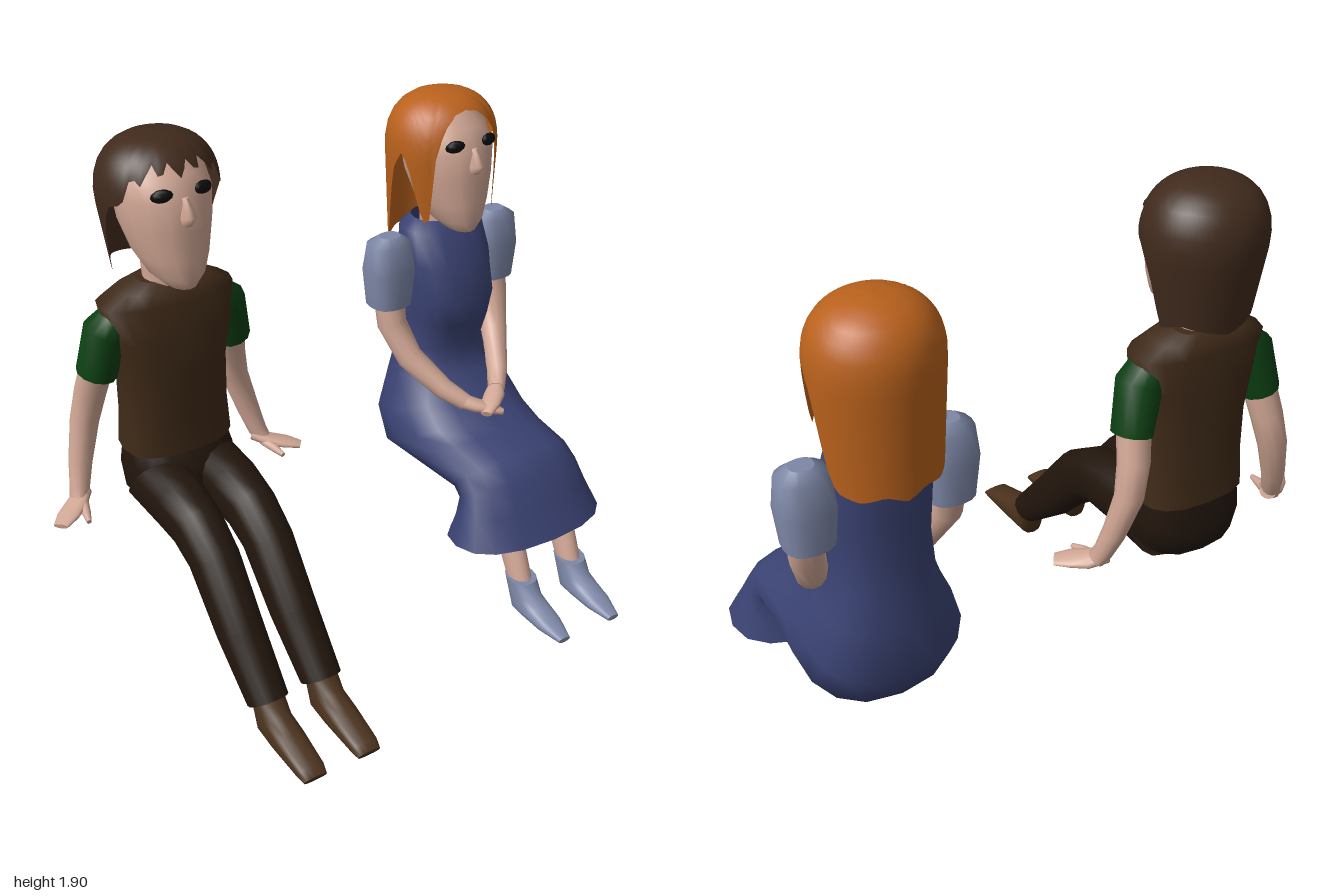
import * as THREE from 'three';

const paint = {};
const mat = (color) => (paint[color] ??= new THREE.MeshStandardMaterial({ color, side: THREE.DoubleSide }));
const SKIN = 0xd0a694, BROWN = 0x3f2a18, DARK = 0x22160d, GREEN = 0x0c3f12, HAIR = 0x402a1c;
const BLUE = 0x3a4272, PALE = 0x7d87a6, GINGER = 0xb9611c, SHOE = 0x4b321d, BLACK = 0x0c0c0c;
const SIDES = 16;

// Joins rings of points into a smooth surface, with optional flat end caps
function skin(name, color, rings, caps = true) {
  const n = rings[0].length, pos = [], idx = [];
  for (const ring of rings) for (const p of ring) pos.push(p.x, p.y, p.z);
  for (let j = 0; j < rings.length - 1; j++) {
    for (let i = 0; i < n; i++) {
      const a = j * n + i, b = j * n + (i + 1) % n;
      idx.push(a, b, a + n, b, b + n, a + n);
    }
  }
  if (caps) {
    for (const end of [0, rings.length - 1]) {
      const ring = rings[end], base = pos.length / 3;
      const c = ring.reduce((s, p) => s.add(p), new THREE.Vector3()).divideScalar(n);
      for (const p of [c, ...ring]) pos.push(p.x, p.y, p.z);
      for (let i = 0; i < n; i++) {
        const a = base + 1 + i, b = base + 1 + (i + 1) % n;
        end ? idx.push(base, a, b) : idx.push(base, b, a);
      }
    }
  }
  const g = new THREE.BufferGeometry();
  g.setAttribute('position', new THREE.Float32BufferAttribute(pos, 3));
  g.setIndex(idx);
  g.computeVertexNormals();
  const mesh = new THREE.Mesh(g, mat(color));
  mesh.name = name;
  return mesh;
}

// Side-profile loft. Section: [frontY, frontZ, backY, backZ, halfWidth]
function body(name, color, sections, { x = 0, power = 1, caps = true } = {}) {
  const soft = (v) => Math.sign(v) * Math.abs(v) ** power;
  return skin(name, color, sections.map(([fy, fz, by, bz, w]) =>
    Array.from({ length: SIDES }, (_, i) => {
      const a = (i / SIDES) * Math.PI * 2, c = soft(Math.cos(a)) * w, s = soft(Math.sin(a));
      return new THREE.Vector3(x + c, (fy + by) / 2 + s * (fy - by) / 2, (fz + bz) / 2 + s * (fz - bz) / 2);
    })), caps);
}

// Limb along a path. Point: [x, y, z, radiusAlongZ, otherRadius]; side mirrors x
function limb(name, color, side, points) {
  const c = points.map(([x, y, z]) => new THREE.Vector3(x * side, y, z));
  return skin(name, color, points.map(([, , , ru, rv = ru], k) => {
    const T = c[Math.min(k + 1, c.length - 1)].clone().sub(c[Math.max(k - 1, 0)]).normalize();
    const U = new THREE.Vector3(0, 0, 1).addScaledVector(T, -T.z).normalize();
    const V = T.clone().cross(U);
    return Array.from({ length: 12 }, (_, i) => {
      const a = (i / 12) * Math.PI * 2;
      return c[k].clone().addScaledVector(U, Math.cos(a) * ru).addScaledVector(V, Math.sin(a) * rv);
    });
  }));
}

// Hair cap whose lower edge follows a table of [angle from the front, height]
function hairCap(color, top, widest, hem, taper) {
  const cols = 64, rows = 12;
  const edge = (a) => {
    const k = Math.max(1, hem.findIndex(([h]) => h >= a - 1e-6));
    const [a0, y0] = hem[k - 1], [a1, y1] = hem[k];
    return y0 + (y1 - y0) * (a - a0) / (a1 - a0);
  };
  const spread = (y) => y > widest
    ? Math.max(0, 1 - ((y - widest) / (top - widest)) ** 2.5) ** 0.4
    : 1 - (widest - y) * taper;
  return skin('hair', color, Array.from({ length: rows + 1 }, (_, j) =>
    Array.from({ length: cols }, (_, i) => {
      const a = (i / cols) * Math.PI * 2, low = edge(Math.min(a, Math.PI * 2 - a));
      const y = top - (top - low) * (1 - Math.cos(j / rows * Math.PI / 2));
      const k = spread(y);
      return new THREE.Vector3(-Math.sin(a) * 0.213 * k, y, -0.46 + Math.cos(a) * 0.2 * k);
    })), false);
}

// Head, neck, nose and eyes shared by both figures
function makeHead() {
  const g = new THREE.Group();
  g.name = 'head';
  g.add(body('face', SKIN, [
    [1.86, -0.36, 1.86, -0.55, 0.09], [1.8, -0.29, 1.8, -0.6, 0.15], [1.72, -0.245, 1.72, -0.62, 0.165],
    [1.62, -0.24, 1.62, -0.6, 0.155], [1.52, -0.24, 1.52, -0.55, 0.128], [1.45, -0.24, 1.46, -0.5, 0.095],
    [1.41, -0.26, 1.43, -0.44, 0.06]]));
  g.add(body('neck', SKIN, [[1.55, -0.38, 1.55, -0.55, 0.08], [1.36, -0.38, 1.36, -0.53, 0.075]]));
  g.add(body('nose', SKIN, [
    [1.74, -0.245, 1.74, -0.3, 0.012], [1.685, -0.2, 1.66, -0.3, 0.026], [1.645, -0.235, 1.64, -0.3, 0.022]]));
  for (const s of [-1, 1]) {
    const eye = new THREE.Mesh(new THREE.SphereGeometry(1, 8, 6), mat(BLACK));
    eye.name = 'eye';
    eye.scale.set(0.038, 0.023, 0.016);
    eye.position.set(s * 0.075, 1.755, -0.272);
    eye.rotation.set(0, s * 0.3, s * -0.1);
    g.add(eye);
  }
  return g;
}

function makeMan() {
  const g = new THREE.Group();
  g.name = 'man';
  g.add(makeHead());
  g.add(hairCap(HAIR, 1.905, 1.7, [[0, 1.8], [0.2, 1.85], [0.35, 1.8], [0.5, 1.85], [0.7, 1.78], [0.85, 1.82],
    [1, 1.72], [1.3, 1.7], [1.55, 1.6], [1.75, 1.43], [2.2, 1.46], [3.15, 1.42]], 0.65));
  g.add(body('vest', BROWN, [
    [1.39, -0.4, 1.39, -0.54, 0.1], [1.365, -0.365, 1.365, -0.565, 0.17], [1.325, -0.345, 1.325, -0.58, 0.25],
    [1.2, -0.32, 1.2, -0.59, 0.225], [1.06, -0.315, 1.06, -0.595, 0.195], [0.88, -0.325, 0.88, -0.6, 0.195],
    [0.74, -0.325, 0.74, -0.61, 0.205]], { power: 0.75 }));
  g.add(body('trouserSeat', DARK, [
    [0.76, -0.345, 0.76, -0.595, 0.19], [0.7, -0.3, 0.64, -0.62, 0.205], [0.62, -0.28, 0.53, -0.6, 0.2],
    [0.54, -0.3, 0.49, -0.5, 0.16]], { power: 0.8 }));
  for (const s of [-1, 1]) {
    g.add(body('trouserLeg', DARK, [
      [0.72, -0.34, 0.49, -0.52, 0.1], [0.71, -0.2, 0.49, -0.26, 0.098], [0.675, -0.06, 0.48, -0.15, 0.09],
      [0.57, 0.09, 0.45, -0.07, 0.085], [0.36, 0.25, 0.26, 0.1, 0.08], [0.16, 0.41, 0.09, 0.3, 0.072]],
    { x: s * 0.107, power: 0.85 }));
    g.add(body('shoe', SHOE, [
      [0.16, 0.4, 0.12, 0.31, 0.055], [0.12, 0.45, 0, 0.34, 0.056], [0.09, 0.52, 0, 0.45, 0.058],
      [0.045, 0.64, 0, 0.62, 0.052], [0.02, 0.665, 0, 0.66, 0.045]], { x: s * 0.107, power: 0.8 }));
    g.add(limb('sleeve', GREEN, s, [
      [0.19, 1.28, -0.46, 0.07, 0.05], [0.225, 1.23, -0.47, 0.085, 0.08], [0.265, 1.06, -0.5, 0.075, 0.072]]));
    g.add(limb('arm', SKIN, s, [
      [0.255, 1.12, -0.49, 0.06], [0.28, 0.97, -0.54, 0.057], [0.305, 0.85, -0.56, 0.052],
      [0.345, 0.7, -0.54, 0.043], [0.368, 0.61, -0.515, 0.036], [0.385, 0.575, -0.5, 0.036, 0.028]]));
    g.add(limb('hand', SKIN, s, [
      [0.35, 0.59, -0.52, 0.03, 0.025], [0.4, 0.567, -0.48, 0.045, 0.022], [0.45, 0.56, -0.44, 0.045, 0.016],
      [0.495, 0.55, -0.405, 0.03, 0.01]]));
    g.add(limb('thumb', SKIN, s, [
      [0.375, 0.57, -0.48, 0.02], [0.39, 0.56, -0.42, 0.016], [0.4, 0.55, -0.375, 0.009]]));
  }
  return g;
}

function makeWoman() {
  const g = new THREE.Group();
  g.name = 'woman';
  const head = makeHead();
  head.position.y = -0.08;
  g.add(head);
  g.add(hairCap(GINGER, 1.825, 1.62, [[0, 1.785], [0.3, 1.775], [0.55, 1.73], [0.72, 1.6], [0.8, 1.34], [0.95, 1.4],
    [1.2, 1.58], [1.35, 1.64], [1.6, 1.56], [1.85, 1.32], [2, 1.25], [2.4, 1.23], [2.8, 1.25], [3.15, 1.22]], 0.2));
  // One surface from neckline over the lap to the flared, open hem
  g.add(body('dress', BLUE, [
    [1.34, -0.38, 1.34, -0.55, 0.11], [1.31, -0.33, 1.31, -0.57, 0.165], [1.18, -0.27, 1.22, -0.578, 0.178],
    [1.05, -0.23, 1.08, -0.575, 0.175], [0.95, -0.25, 0.95, -0.57, 0.165], [0.83, -0.3, 0.83, -0.575, 0.168],
    [0.74, -0.25, 0.69, -0.595, 0.21], [0.67, -0.17, 0.5, -0.615, 0.268], [0.62, -0.08, 0.36, -0.54, 0.28],
    [0.59, -0.01, 0.365, -0.27, 0.262], [0.56, 0.13, 0.385, -0.03, 0.255], [0.5, 0.205, 0.375, 0, 0.262],
    [0.4, 0.265, 0.33, -0.01, 0.285], [0.285, 0.34, 0.25, -0.04, 0.325]], { power: 0.85, caps: false }));
  for (const s of [-1, 1]) {
    g.add(body('puffSleeve', PALE, [
      [1.31, -0.4, 1.31, -0.47, 0.04], [1.28, -0.365, 1.28, -0.51, 0.085], [1.17, -0.35, 1.17, -0.53, 0.097],
      [1.03, -0.36, 1.03, -0.52, 0.083]], { x: s * 0.243, power: 0.8 }));
    const lift = s > 0 ? 0.015 : 0;
    g.add(limb('arm', SKIN, s, [
      [0.243, 1.08, -0.44, 0.06], [0.243, 0.95, -0.415, 0.057], [0.205, 0.82, -0.345, 0.052],
      [0.13, 0.715, -0.22, 0.041], [0.075, 0.67 + lift, -0.15, 0.033]]));
    g.add(limb('hand', SKIN, s, [
      [0.085, 0.675 + lift, -0.16, 0.03], [0.045, 0.66 + lift, -0.125, 0.042, 0.026],
      [0, 0.65 + lift, -0.09, 0.04, 0.02], [-0.04, 0.635 + lift, -0.06, 0.022, 0.012]]));
    g.add(body('leg', SKIN, [
      [0.45, 0.17, 0.4, 0.07, 0.05], [0.28, 0.28, 0.24, 0.17, 0.046], [0.11, 0.35, 0.1, 0.25, 0.043]],
    { x: s * 0.12 }));
    g.add(body('shoe', PALE, [
      [0.135, 0.36, 0.145, 0.235, 0.055], [0.1, 0.39, 0, 0.29, 0.052], [0.075, 0.43, 0, 0.36, 0.055],
      [0.05, 0.49, 0, 0.47, 0.05], [0.02, 0.57, 0, 0.57, 0.026]], { x: s * 0.12, power: 0.85 }));
  }
  return g;
}

export function createModel() {
  const model = new THREE.Group();
  model.name = 'seatedCouple';
  const man = makeMan(), woman = makeWoman();
  man.position.x = -0.505;
  woman.position.x = 0.66;
  model.add(man, woman);
  return model;
}
